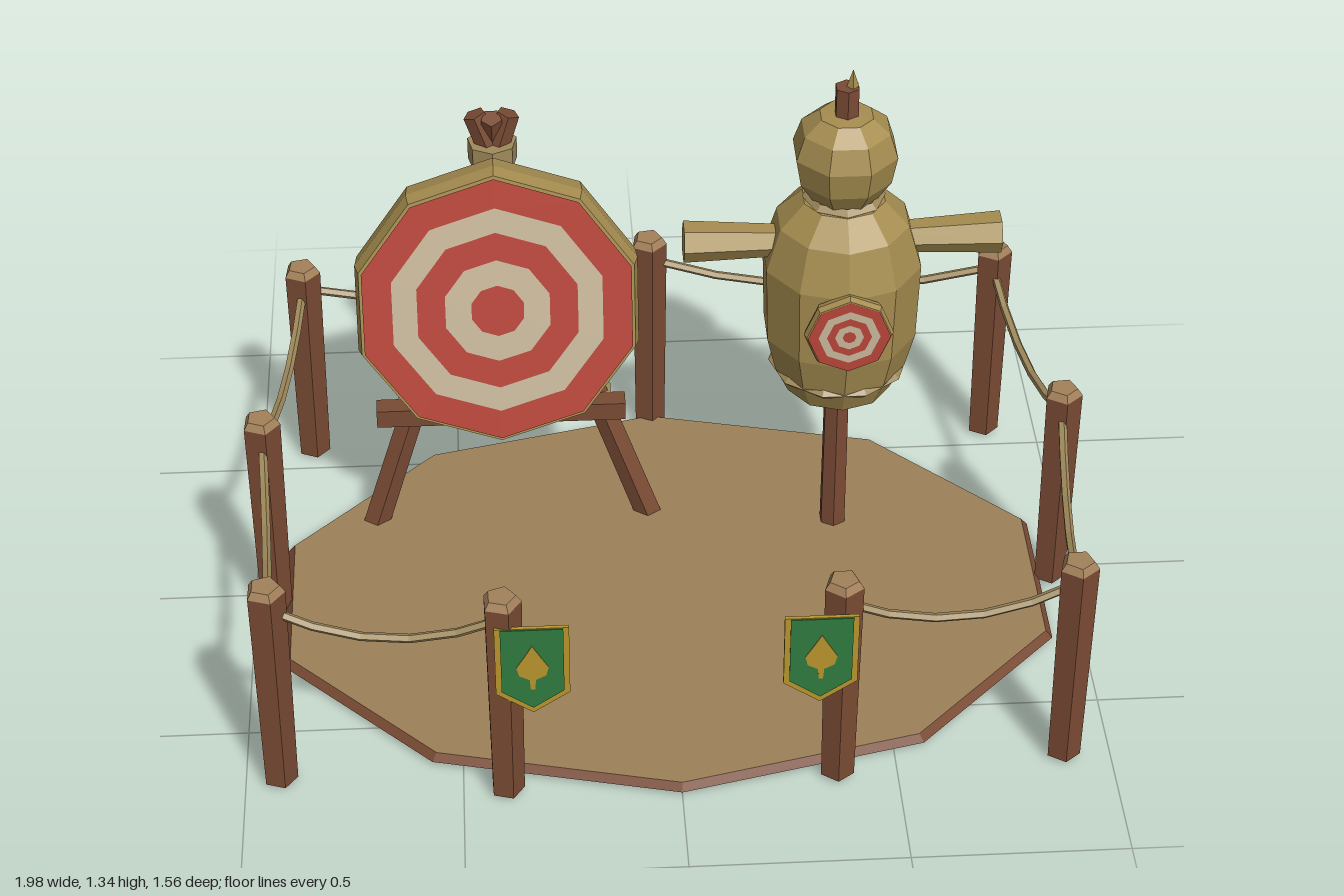
import * as THREE from 'three';

const mat = (name, color) => {
  const m = new THREE.MeshStandardMaterial({ color });
  m.name = name;
  return m;
};
const V = (x, y, z) => new THREE.Vector3(x, y, z);

export function createModel() {
  const wood = mat('wood', 0x7a4b34);
  const cutWood = mat('cut wood', 0xa3815a);
  const sand = mat('sand', 0x9c8058);
  const straw = mat('straw', 0xa68d50);
  const rope = mat('rope', 0xa08a5c);
  const red = mat('red paint', 0xb8453a);
  const cream = mat('cream paint', 0xc8b89a);
  const green = mat('green cloth', 0x2f7a40);
  const gold = mat('gold trim', 0xb8952c);

  const model = new THREE.Group();
  model.name = 'trainingGround';

  // Faceted mesh helper
  const add = (parent, name, geo, material, x = 0, y = 0, z = 0) => {
    const g = geo.index ? geo.toNonIndexed() : geo;
    g.computeVertexNormals();
    const mesh = new THREE.Mesh(g, material);
    mesh.name = name;
    mesh.position.set(x, y, z);
    parent.add(mesh);
    return mesh;
  };
  const group = (name, x = 0, y = 0, z = 0) => {
    const g = new THREE.Group();
    g.name = name;
    g.position.set(x, y, z);
    model.add(g);
    return g;
  };
  // Tapered rod between two points
  const rod = (parent, name, a, b, ra, rb, sides, material) => {
    const mesh = add(parent, name, new THREE.CylinderGeometry(rb, ra, a.distanceTo(b), sides), material);
    mesh.position.copy(a).add(b).multiplyScalar(0.5);
    mesh.quaternion.setFromUnitVectors(V(0, 1, 0), b.clone().sub(a).normalize());
    return mesh;
  };
  const lathe = (pts, sides, start = 0) =>
    new THREE.LatheGeometry(pts.map(p => new THREE.Vector2(p[0], p[1])), sides, start);
  // Concentric painted rings, red outermost
  const rings = (parent, radii, sides, z) => radii.forEach((r, i) =>
    add(parent, 'paintedRing', new THREE.RingGeometry(radii[i + 1] ?? 0.0001, r, sides, 1, Math.PI / 2),
      i % 2 ? cream : red, 0, 0, z));

  // Ground plate
  const ground = add(model, 'ground', new THREE.CylinderGeometry(0.955, 0.972, 0.02, 10), [wood, sand, sand], 0, 0.01, 0.063);
  ground.scale.z = 0.727;

  // Fence posts, running round from one side of the entrance to the other
  const posts = [[0.36, 0.715], [0.89, 0.68], [0.95, 0.04], [0.865, -0.565], [0, -0.65],
    [-0.87, -0.57], [-0.95, 0.05], [-0.92, 0.665], [-0.4, 0.73]];
  const fence = group('fence');
  posts.forEach(([x, z], i) => {
    const turn = i * 1.3;
    const post = add(fence, 'fencePost', new THREE.CylinderGeometry(0.046, 0.04, 0.555, 5), wood, x, 0.2775, z);
    const cap = add(fence, 'postCap', new THREE.CylinderGeometry(0.034, 0.046, 0.018, 5), cutWood, x, 0.564, z);
    post.rotation.y = cap.rotation.y = turn;
    if (i === 0) return;
    // Sagging rope to the previous post
    const [px, pz] = posts[i - 1];
    const sag = new THREE.QuadraticBezierCurve3(V(px, 0.505, pz), V((px + x) / 2, 0.365, (pz + z) / 2), V(x, 0.505, z));
    add(fence, 'fenceRope', new THREE.TubeGeometry(sag, 5, 0.011, 5), rope);
  });

  // Banners beside the entrance
  const pennant = (w, top, corner, tip) => new THREE.Shape([
    new THREE.Vector2(-w, top), new THREE.Vector2(-w, corner), new THREE.Vector2(0, tip),
    new THREE.Vector2(w, corner), new THREE.Vector2(w, top)]);
  const leaf = new THREE.Shape([[0, 0.068], [-0.018, 0.036], [-0.036, 0.006], [-0.03, -0.018], [-0.007, -0.03],
    [-0.005, -0.058], [0.005, -0.058], [0.007, -0.03], [0.03, -0.018], [0.036, 0.006], [0.018, 0.036]]
    .map(p => new THREE.Vector2(p[0], p[1])));
  const plate = (shape, depth) => new THREE.ExtrudeGeometry(shape, { depth, bevelEnabled: false });
  for (const x of [-0.335, 0.308]) {
    const banner = group('banner', x, 0.395, 0.762);
    add(banner, 'bannerTrim', plate(pennant(0.083, 0.115, -0.073, -0.13), 0.009), gold);
    add(banner, 'bannerCloth', plate(pennant(0.07, 0.113, -0.065, -0.114), 0.004), green, 0, 0, 0.008);
    add(banner, 'bannerLeaf', plate(leaf, 0.003), gold, 0, 0, 0.011);
  }

  // Tripod stand for the large target
  const stand = group('targetStand');
  rod(stand, 'frontLeg', V(-0.71, 0, -0.25), V(-0.345, 1.13, -0.37), 0.034, 0.028, 5, wood);
  rod(stand, 'frontLeg', V(-0.02, 0, -0.25), V(-0.425, 1.13, -0.37), 0.034, 0.028, 5, wood);
  rod(stand, 'backLeg', V(-0.385, 0.01, -0.765), V(-0.385, 1.13, -0.35), 0.03, 0.026, 5, wood);
  add(stand, 'crossbar', new THREE.BoxGeometry(0.61, 0.048, 0.05), wood, -0.385, 0.35, -0.245);
  add(stand, 'topBinding', new THREE.CylinderGeometry(0.06, 0.06, 0.055, 7), rope, -0.385, 1.03, -0.365);
  for (const x of [-0.6, -0.15])
    add(stand, 'legBinding', new THREE.CylinderGeometry(0.042, 0.042, 0.045, 6), rope, x, 0.35, -0.288);

  // Large straw target, leaning back
  const target = group('largeTarget', -0.385, 0.735, -0.125);
  target.rotation.x = -0.2;
  const bale = lathe([[0, -0.14], [0.315, -0.14], [0.348, -0.1], [0.352, -0.04], [0.342, 0], [0, 0]], 10);
  add(target, 'strawBale', bale.rotateX(Math.PI / 2), straw);
  rings(target, [0.335, 0.262, 0.2, 0.13, 0.065], 10, 0.004);

  // Straw dummy on a pole
  const dummy = group('strawDummy', 0.435, 0, -0.185);
  add(dummy, 'pole', new THREE.CylinderGeometry(0.03, 0.034, 1.29, 6), wood, 0, 0.645, 0);
  add(dummy, 'body', lathe([[0, 0.45], [0.13, 0.455], [0.165, 0.53], [0.187, 0.62], [0.193, 0.82],
    [0.16, 0.93], [0.1, 0.99], [0, 0.995]], 10), straw);
  add(dummy, 'head', lathe([[0, 0.985], [0.08, 0.995], [0.115, 1.05], [0.128, 1.12], [0.108, 1.18],
    [0.065, 1.215], [0, 1.22]], 8, Math.PI / 8), straw);
  add(dummy, 'waistRope', new THREE.TorusGeometry(0.157, 0.013, 4, 10).rotateX(Math.PI / 2), rope, 0, 0.52, 0);
  add(dummy, 'neckRope', new THREE.TorusGeometry(0.085, 0.014, 4, 8).rotateX(Math.PI / 2), rope, 0, 0.992, 0);
  add(dummy, 'topTuft', new THREE.ConeGeometry(0.016, 0.05, 4), straw, 0.012, 1.31, 0);
  for (const s of [-1, 1])
    rod(dummy, 'arm', V(s * 0.1, 0.868, 0), V(s * 0.377, 0.873, 0), 0.036, 0.05, 6, straw);

  // Small target on the dummy's belly
  const belly = new THREE.Group();
  belly.name = 'bellyTarget';
  belly.position.set(0, 0.735, 0.215);
  dummy.add(belly);
  add(belly, 'bellyPad', lathe([[0, -0.035], [0.1, -0.035], [0.106, -0.015], [0.1, 0], [0, 0]], 8)
    .rotateX(Math.PI / 2), straw);
  rings(belly, [0.098, 0.073, 0.053, 0.034, 0.016], 8, 0.003);

  return model;
}
